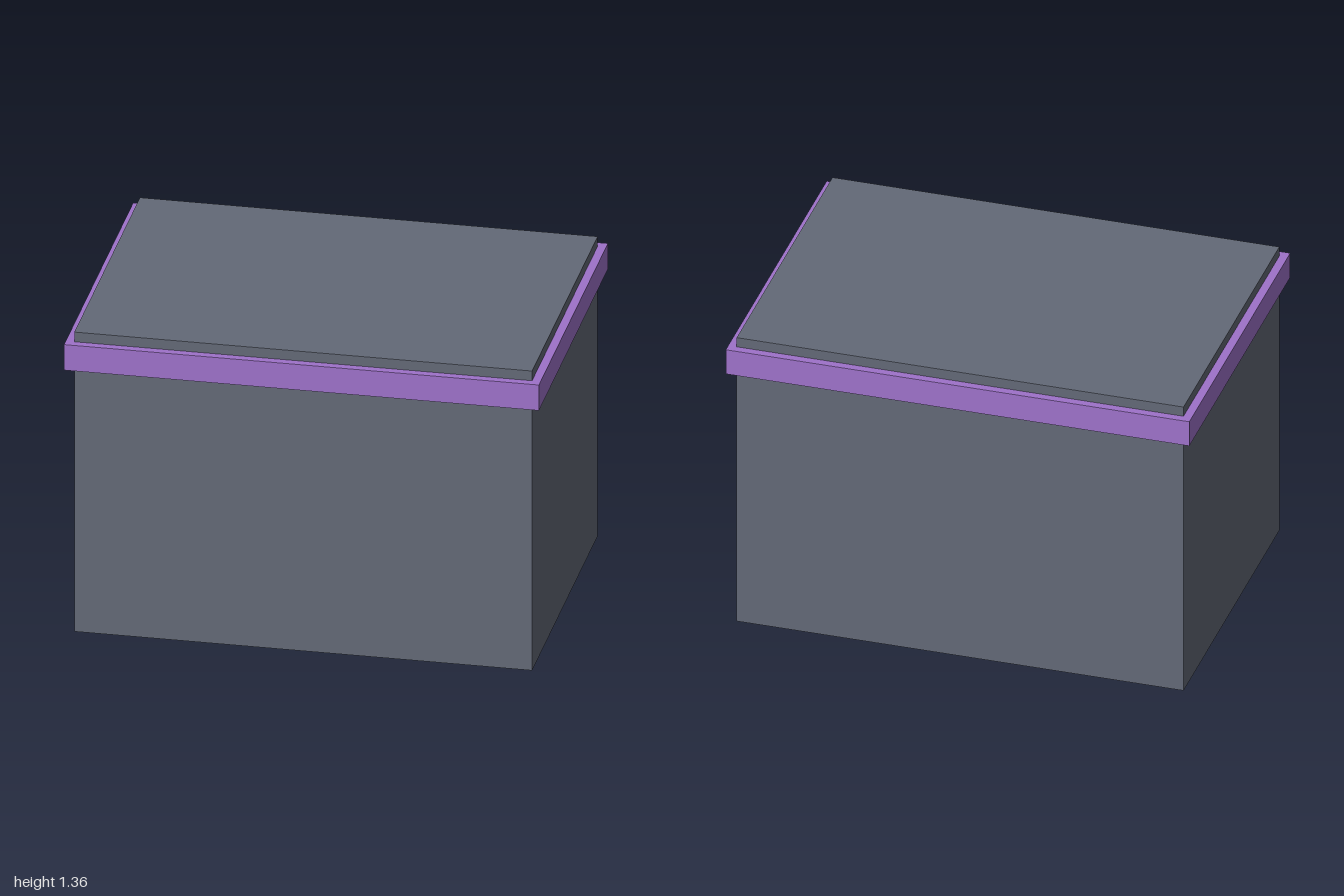
import * as THREE from 'three';

const slate = new THREE.MeshStandardMaterial({ color: 0x636977 });
slate.name = 'slate grey';
const purple = new THREE.MeshStandardMaterial({ color: 0x9e72ca });
purple.name = 'purple';

// Box spanning bottom..top, centred on x and z
function block(name, width, depth, bottom, top, material) {
  const mesh = new THREE.Mesh(new THREE.BoxGeometry(width, top - bottom, depth), material);
  mesh.name = name;
  mesh.position.y = (bottom + top) / 2;
  return mesh;
}

export function createModel() {
  const model = new THREE.Group();
  model.name = 'bandedBox';
  // Main body, rising slightly above the band
  model.add(block('body', 1.928, 1.356, 0, 1.36, slate));
  // Overhanging band around the upper edge
  model.add(block('rimBand', 2, 1.428, 1.2, 1.316, purple));
  return model;
}
